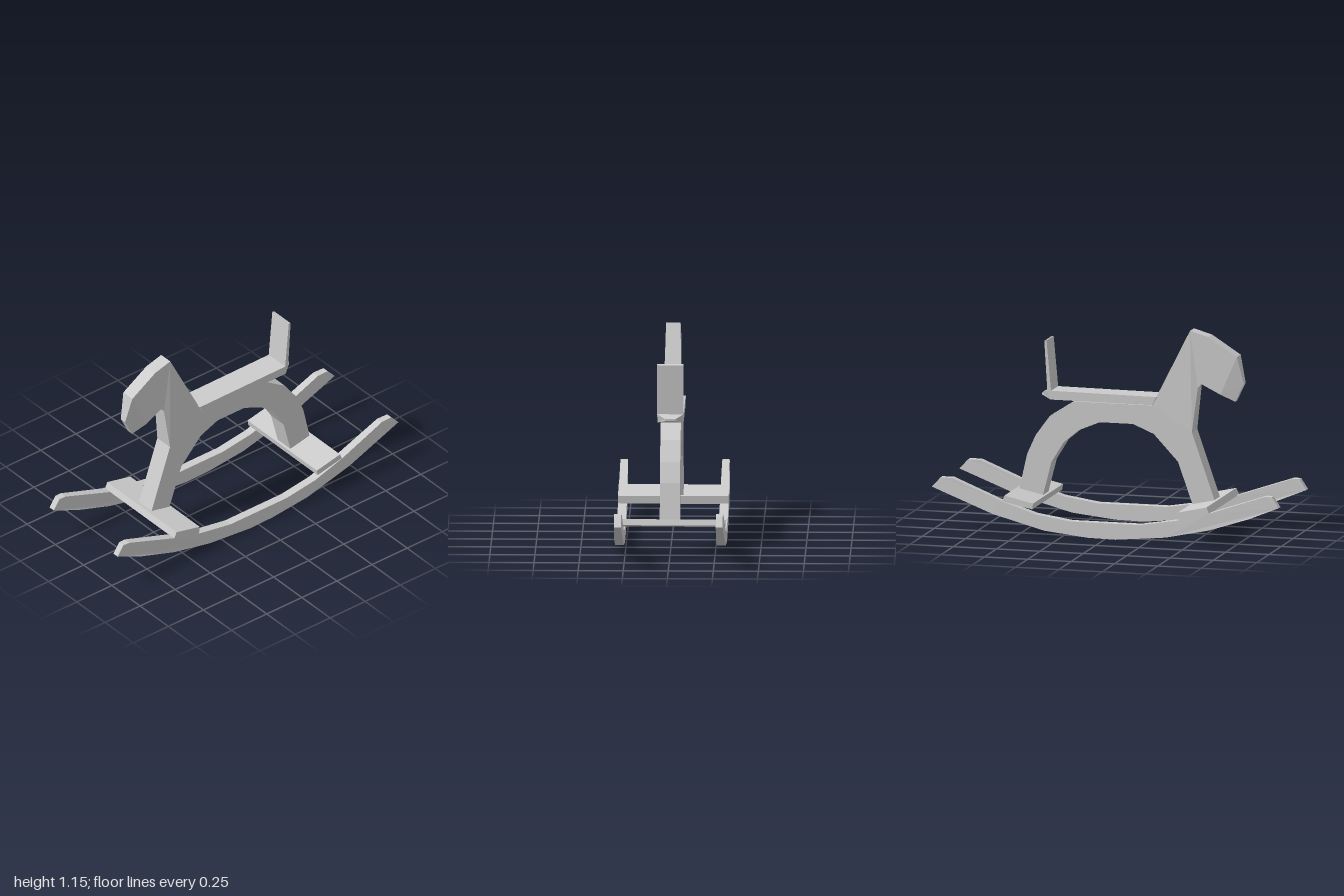
import * as THREE from 'three';

const material = new THREE.MeshStandardMaterial({ color: 0xcccccc, flatShading: true, side: THREE.DoubleSide });

// Extrudes a side profile of [z, y, optional half width] points across x,
// letting single corners be narrower than the rest.
function plank(name, profile, halfWidth, x = 0) {
  const shape = new THREE.Shape(profile.map(([z, y]) => new THREE.Vector2(z, y)));
  const geo = new THREE.ExtrudeGeometry(shape, { depth: 1, bevelEnabled: false });
  const pos = geo.attributes.position;
  for (let i = 0; i < pos.count; i++) {
    const corner = profile.find(([z, y]) => Math.hypot(z - pos.getX(i), y - pos.getY(i)) < 1e-4);
    const w = corner?.[2] ?? halfWidth;
    pos.setZ(i, pos.getZ(i) > 0.5 ? w : -w);
  }
  geo.rotateY(-Math.PI / 2);
  geo.computeVertexNormals();
  const mesh = new THREE.Mesh(geo, material);
  mesh.name = name;
  mesh.position.x = x;
  return mesh;
}

export function createModel() {
  const model = new THREE.Group();
  model.name = 'rockingHorse';

  // Curved rockers with slightly pinched tips
  const rocker = [
    [1, 0.225, 0.019], [0.96, 0.285, 0.019], [0.92, 0.285, 0.021], [0.6, 0.175], [0.41, 0.125],
    [0.2, 0.09], [-0.2, 0.09], [-0.4, 0.12], [-0.6, 0.185], [-0.88, 0.3, 0.021],
    [-0.95, 0.3, 0.019], [-1, 0.245, 0.019], [-0.65, 0.11], [-0.35, 0.03], [-0.1, 0.003],
    [0.06, 0], [0.35, 0.027], [0.6, 0.08], [0.83, 0.155],
  ];
  for (const side of [1, -1]) {
    model.add(plank(side > 0 ? 'leftRocker' : 'rightRocker', rocker, 0.0245, side * 0.2825));
  }

  // Tilted cross boards under the feet
  model.add(plank('frontCrossBoard', [[0.6, 0.172], [0.585, 0.209], [0.42, 0.172], [0.425, 0.127]], 0.307));
  model.add(plank('rearCrossBoard', [[-0.592, 0.185], [-0.58, 0.217], [-0.415, 0.18], [-0.42, 0.147]], 0.307));

  // Arched body and legs
  model.add(plank('bodyAndLegs', [
    [0.565, 0.19], [0.43, 0.58], [0.2, 0.72], [-0.25, 0.72], [-0.39, 0.63], [-0.47, 0.52],
    [-0.52, 0.41], [-0.567, 0.2], [-0.43, 0.175], [-0.38, 0.37], [-0.31, 0.485], [-0.22, 0.56],
    [-0.1, 0.61], [0.09, 0.61], [0.21, 0.56], [0.35, 0.41], [0.435, 0.17],
  ], 0.056));

  // Neck and head taper upward, the muzzle narrows to the front
  model.add(plank('neckAndHead', [
    [0.43, 0.58, 0.056], [0.46, 0.83], [0.48, 0.852], [0.59, 0.798], [0.685, 1.015],
    [0.52, 1.12], [0.415, 1.15], [0.32, 0.96, 0.045], [0.2, 0.72, 0.056],
  ], 0.04));
  model.add(plank('muzzle', [
    [0.59, 0.798, 0.04], [0.67, 0.758], [0.72, 0.86], [0.685, 1.015, 0.04],
  ], 0.019));

  // Seat, its rear wedge and the backrest
  model.add(plank('seat', [[0.23, 0.772], [0.205, 0.725], [-0.38, 0.727], [-0.4, 0.777]], 0.073));
  model.add(plank('seatWedge', [
    [-0.38, 0.727], [-0.4, 0.777], [-0.44, 0.757, 0.03], [-0.44, 0.745, 0.03],
  ], 0.073));
  model.add(plank('backrest', [[-0.376, 0.765], [-0.403, 1.06], [-0.416, 1.056], [-0.398, 0.765]], 0.073));

  return model;
}
